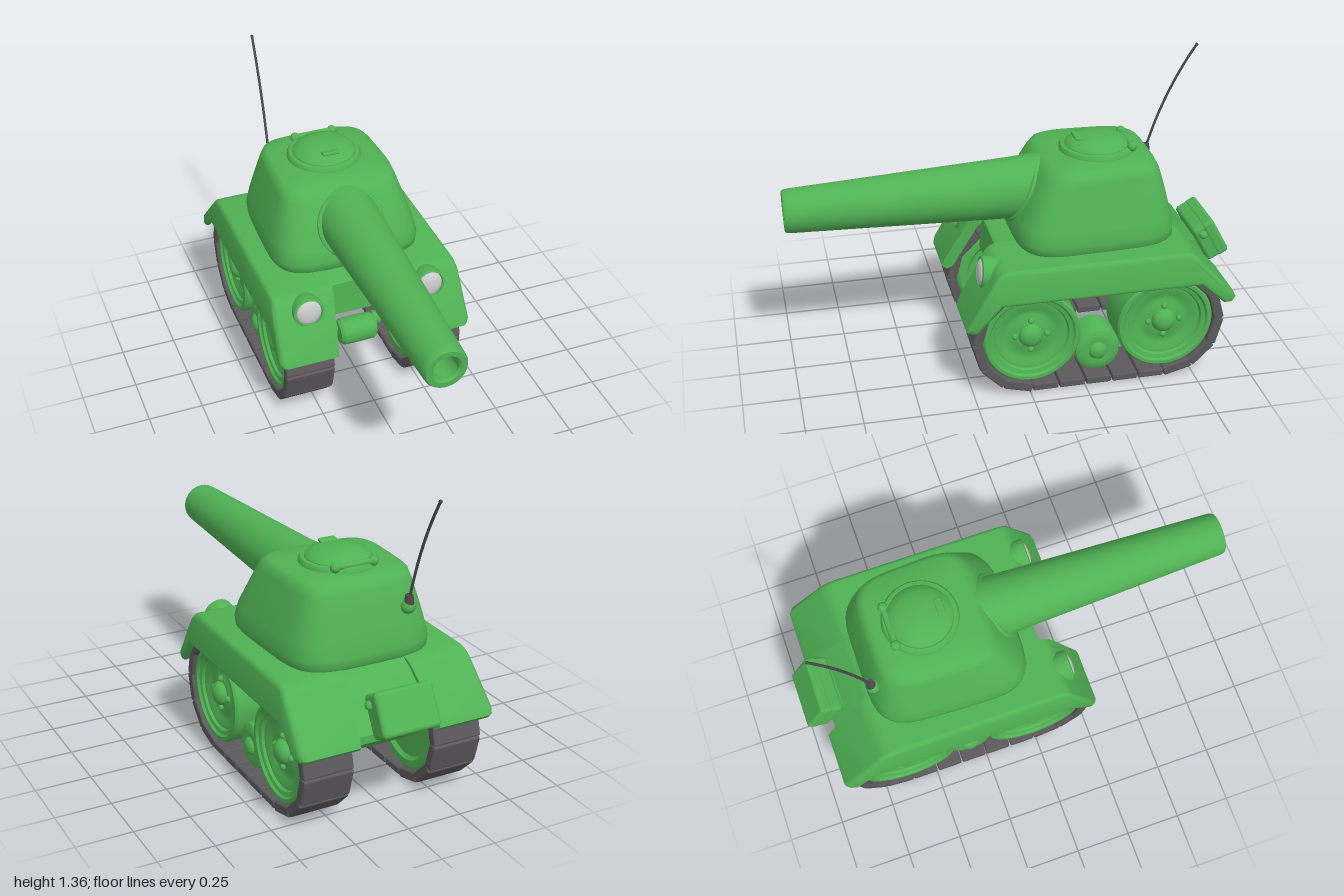
import * as THREE from 'three';
import { toCreasedNormals } from 'three/addons/utils/BufferGeometryUtils.js';
import { RoundedBoxGeometry } from 'three/addons/geometries/RoundedBoxGeometry.js';

const paint = new THREE.MeshStandardMaterial({ color: 0x50b254 });
const rubber = new THREE.MeshStandardMaterial({ color: 0x5b595b });
const glass = new THREE.MeshStandardMaterial({ color: 0xcccccc });
const dark = new THREE.MeshStandardMaterial({ color: 0x4c4a4c });

function add(parent, name, geo, mat = paint, x = 0, y = 0, z = 0) {
  const m = new THREE.Mesh(geo, mat);
  m.name = name;
  m.position.set(x, y, z);
  parent.add(m);
  return m;
}

const vecs = (pts) => pts.map(([a, b]) => new THREE.Vector2(a, b));
const lathe = (pts, seg = 40) => toCreasedNormals(new THREE.LatheGeometry(vecs(pts), seg), 0.6);

// Turned parts whose axis runs along x or z, as [radius, position] profiles
const latheX = (pts, seg) => lathe(pts, seg).rotateZ(-Math.PI / 2);
const latheZ = (pts, seg) => lathe(pts, seg).rotateX(Math.PI / 2);
const rodX = (r, len, seg = 20) => new THREE.CylinderGeometry(r, r, len, seg).rotateZ(Math.PI / 2);

// A [z, y] outline extruded across x0..x1, with an optional bevel and vertex rule
function slabX(pts, x0, x1, bevel = 0, rule = null) {
  const geo = new THREE.ExtrudeGeometry(new THREE.Shape(vecs(pts.map(([z, y]) => [-z, y]))), {
    depth: x1 - x0 - 2 * bevel, bevelEnabled: bevel > 0, bevelSize: bevel,
    bevelThickness: bevel, bevelOffset: -bevel, bevelSegments: 3,
  });
  geo.rotateY(Math.PI / 2).translate(x0 + bevel, 0, 0);
  const p = geo.attributes.position;
  if (rule) for (let i = 0; i < p.count; i++) p.setX(i, rule(p.getX(i), p.getY(i), p.getZ(i)));
  return toCreasedNormals(geo, 0.7);
}

// Closed loft through rounded-rectangle rings: [y, zFront, zBack, halfWidth]
function loft(rings, n = 56, power = 4.5) {
  const pos = [], idx = [];
  const soft = (c) => Math.sign(c) * Math.abs(c) ** (2 / power);
  rings.forEach(([y, zf, zb, w]) => {
    for (let i = 0; i < n; i++) {
      const a = (i / n) * Math.PI * 2;
      const u = soft(Math.sin(a)), v = soft(Math.cos(a));
      pos.push(u * w * (0.97 + 0.04 * v), y, (zf + zb) / 2 + (v * (zf - zb)) / 2);
    }
  });
  for (let r = 0; r < rings.length - 1; r++) {
    for (let i = 0; i < n; i++) {
      const a = r * n + i, b = r * n + ((i + 1) % n);
      idx.push(a, b, a + n, b, b + n, a + n);
    }
  }
  const geo = new THREE.BufferGeometry();
  geo.setAttribute('position', new THREE.Float32BufferAttribute(pos, 3));
  geo.setIndex(idx);
  return toCreasedNormals(geo, 0.75);
}

const AXLE_Y = 0.265, FRONT_Z = -0.01, REAR_Z = -0.615;

// Hull between the tracks, deepest at the rear axle
function addHull(g) {
  add(g, 'hull', slabX([[0.11, 0.44], [0.1, 0.6], [0.08, 0.612], [-0.69, 0.612], [-0.73, 0.585],
    [-0.885, 0.405], [-0.885, 0.37], [-0.64, 0.2], [-0.54, 0.2], [-0.38, 0.325], [-0.2, 0.335]], -0.17, 0.17));
  add(g, 'frontGearbox', latheX([[0, -0.088], [0.05, -0.088], [0.062, -0.072], [0.064, 0], [0.062, 0.072],
    [0.05, 0.088], [0, 0.088]]), paint, 0, 0.253, 0.02);
  for (const s of [-1, 1]) add(g, 'axleCollar', rodX(0.034, 0.03), paint, s * 0.105, AXLE_Y, FRONT_Z);
  for (const z of [FRONT_Z, REAR_Z]) add(g, 'axle', rodX(0.025, 0.5), paint, 0, AXLE_Y, z);
}

// Fender with hollow underside, outer skirt, sloping bracket and headlight
function addFender(g, s) {
  const top = [[0.26, 0.33], [0.285, 0.345], [0.275, 0.375], [0.16, 0.575], [0.145, 0.597], [0.125, 0.611],
    [0.1, 0.617], [-0.68, 0.617], [-0.71, 0.611], [-0.735, 0.597], [-0.755, 0.575], [-0.91, 0.41],
    [-0.925, 0.38], [-0.905, 0.36]];
  const rule = (x, y, z) => {
    const a = Math.abs(x);
    const inset = Math.max(0, y - 0.47) * 0.2 + Math.max(0, 0.37 - y) * 0.3
      + Math.max(0, z - 0.23) * 0.3 + Math.max(0, -0.88 - z) * 0.4;
    if (a > 0.4) return Math.sign(x) * (a - inset);
    if (a < 0.2) return Math.sign(x) * (a + Math.max(0, z - 0.08) * 0.18 + Math.max(0, -0.7 - z) * 0.18);
    return x;
  };
  const span = (a, b) => (s > 0 ? [a, b] : [-b, -a]);
  const shell = [...top, [-0.875, 0.37], [-0.72, 0.55], [-0.68, 0.575], [0.09, 0.575], [0.12, 0.55], [0.235, 0.345]];
  const skirt = [...top, [-0.865, 0.365], [-0.755, 0.465], [0.13, 0.465], [0.235, 0.34]];
  add(g, 'fender', slabX(shell, ...span(0.145, 0.444), 0, rule));
  add(g, 'fenderSkirt', slabX(skirt, ...span(0.425, 0.462), 0.018, rule));
  add(g, 'fenderBracket', slabX([[-0.2, 0.475], [-0.44, 0.475], [-0.4, 0.33], [-0.23, 0.33]], ...span(0.16, 0.43), 0,
    (x, y) => (Math.abs(x) > 0.3 ? Math.sign(x) * (0.43 - (0.475 - y) * 1.65) : x)));

  const lamp = new THREE.Group();
  lamp.name = 'headlight';
  lamp.position.set(s * 0.287, 0.557, 0.195);
  lamp.rotation.x = -0.12;
  add(lamp, 'headlightHousing', latheZ([[0, -0.118], [0.03, -0.112], [0.053, -0.094], [0.067, -0.062], [0.071, -0.03],
    [0.07, 0], [0.06, 0.004], [0.057, -0.008], [0, -0.008]]));
  const lens = add(lamp, 'headlightLens', new THREE.SphereGeometry(0.058, 28, 16), glass, 0, 0, -0.004);
  lens.scale.z = 0.35;
  g.add(lamp);
}

// Road wheels and the linked track around them
function addRunningGear(g, s) {
  const wheelProfile = [[0, -0.085], [0.16, -0.085], [0.175, -0.1], [0.205, -0.1], [0.218, -0.09], [0.218, 0.09],
    [0.21, 0.1], [0.195, 0.1], [0.187, 0.09], [0.17, 0.086], [0.164, 0.074], [0.15, 0.074],
    [0.125, 0.062], [0.1, 0.058], [0.085, 0.064], [0, 0.068]];
  for (const z of [FRONT_Z, REAR_Z]) {
    const wheel = new THREE.Group();
    wheel.name = 'roadWheel';
    wheel.position.set(s * 0.305, AXLE_Y, z);
    if (s < 0) wheel.rotation.y = Math.PI;
    add(wheel, 'wheelDisc', latheX(wheelProfile, 48));
    const hub = add(wheel, 'hub', new THREE.SphereGeometry(0.055, 24, 16), paint, 0.07);
    hub.scale.x = 0.7;
    for (let k = 0; k < 4; k++) {
      const a = (k * Math.PI) / 2;
      add(wheel, 'bolt', new THREE.SphereGeometry(0.014, 10, 8), paint, 0.07, 0.072 * Math.cos(a), 0.072 * Math.sin(a));
    }
    g.add(wheel);
  }
  const roller = add(g, 'smallRoller', latheX([[0, -0.08], [0.09, -0.08], [0.105, -0.065], [0.105, 0.05],
    [0.098, 0.066], [0.08, 0.076], [0.06, 0.078], [0.042, 0.076], [0.036, 0.086], [0.02, 0.095], [0, 0.098]]),
  paint, s * 0.305, 0.147, -0.315);
  if (s < 0) roller.rotation.y = Math.PI;

  const link = (z, y, tilt, thick, len) => {
    const m = add(g, 'trackLink', new RoundedBoxGeometry(0.228, thick, len, 2, 0.008), rubber, s * 0.305, y, z);
    m.rotation.x = tilt;
  };
  const pitch = (FRONT_Z - REAR_Z) / 5;
  for (let i = 0; i < 5; i++) {
    const z = FRONT_Z - (i + 0.5) * pitch;
    link(z, AXLE_Y - 0.2475, 0, 0.035, pitch - 0.006);
    link(z, AXLE_Y + 0.2475, 0, 0.035, pitch - 0.006);
  }
  const r = 0.2385;
  for (let i = 0; i < 6; i++) {
    const a = ((i + 0.5) * Math.PI) / 6;
    link(FRONT_Z + r * Math.sin(a), AXLE_Y + r * Math.cos(a), a, 0.045, 0.131);
    link(REAR_Z - r * Math.sin(a), AXLE_Y + r * Math.cos(a), -a, 0.045, 0.131);
  }
}

// Turret, gun, hatch and antenna
function addTurret(g) {
  add(g, 'turret', loft([[0.61, -0.34, -0.35, 0.01], [0.61, 0, -0.69, 0.342], [0.625, 0.015, -0.7, 0.352],
    [0.66, 0.018, -0.7, 0.355], [0.72, 0.002, -0.688, 0.342], [0.82, -0.05, -0.665, 0.311], [0.91, -0.097, -0.64, 0.282],
    [0.945, -0.125, -0.622, 0.27], [0.957, -0.15, -0.6, 0.25], [0.968, -0.24, -0.52, 0.15], [0.972, -0.37, -0.38, 0.01]]));

  const collar = add(g, 'gunCollar', latheZ([[0, -0.06], [0.158, -0.06], [0.16, -0.005], [0.155, 0.008], [0.147, 0.012],
    [0, 0.012]], 48), paint, 0, 0.803, -0.045);
  collar.rotation.x = -0.45;
  const barrel = add(g, 'gunBarrel', latheZ([[0, -0.2], [0.144, -0.2], [0.143, -0.1], [0.136, 0], [0.097, 0.965],
    [0.095, 0.99], [0.089, 1], [0.066, 1], [0.056, 0.99], [0.054, 0.6], [0, 0.6]], 48),
  paint, 0, 0.805, 0);
  barrel.rotation.x = 0.011;

  add(g, 'hatchRing', lathe([[0.17, 0], [0.168, 0.02], [0.16, 0.032], [0.145, 0.034], [0.138, 0.028], [0, 0.028]], 48),
    paint, 0, 0.955, -0.39);
  add(g, 'hatchDome', lathe([[0.142, 0], [0.142, 0.022], [0.13, 0.036], [0.1, 0.05], [0.06, 0.059], [0, 0.063]], 48),
    paint, 0, 0.968, -0.39);
  const slot = add(g, 'hatchPeriscope', new RoundedBoxGeometry(0.08, 0.016, 0.035, 2, 0.006), paint, 0, 1.023, -0.3);
  slot.rotation.x = -0.25;
  add(g, 'hatchHinge', rodX(0.014, 0.19, 14), paint, 0, 0.992, -0.527);
  for (const s of [-1, 1]) {
    add(g, 'hingeKnob', new THREE.SphereGeometry(0.022, 14, 10), paint, s * 0.09, 0.992, -0.527);
  }

  add(g, 'antennaMount', new THREE.SphereGeometry(0.032, 18, 12), paint, -0.175, 0.825, -0.668);
  add(g, 'antennaSocket', new THREE.CylinderGeometry(0.017, 0.022, 0.04, 14), dark, -0.175, 0.858, -0.675);
  const path = new THREE.QuadraticBezierCurve3(new THREE.Vector3(-0.175, 0.86, -0.677),
    new THREE.Vector3(-0.172, 1.13, -0.75), new THREE.Vector3(-0.165, 1.345, -0.89));
  add(g, 'antenna', new THREE.TubeGeometry(path, 24, 0.006, 8), dark);
  add(g, 'antennaTip', new THREE.SphereGeometry(0.008, 10, 8), dark, -0.165, 1.345, -0.89);
}

// Storage box on the sloping tail
function addRearBox(g) {
  const box = new THREE.Group();
  box.name = 'rearBox';
  box.position.set(-0.01, 0.498, -0.914);
  box.rotation.x = 0.5;
  add(box, 'boxBody', new RoundedBoxGeometry(0.264, 0.187, 0.07, 3, 0.018), paint, 0, 0, 0.022);
  add(box, 'boxLid', new RoundedBoxGeometry(0.27, 0.19, 0.06, 3, 0.018), paint, 0, 0, -0.022);
  add(box, 'boxLatch', new THREE.SphereGeometry(0.02, 14, 10), paint, 0.132, 0.05, 0.02);
  add(box, 'boxMount', new THREE.BoxGeometry(0.18, 0.1, 0.1), paint, 0, -0.02, 0.06);
  g.add(box);
}

export function createModel() {
  const g = new THREE.Group();
  g.name = 'toyTank';
  addHull(g);
  for (const s of [-1, 1]) {
    addFender(g, s);
    addRunningGear(g, s);
  }
  addTurret(g);
  addRearBox(g);
  return g;
}
